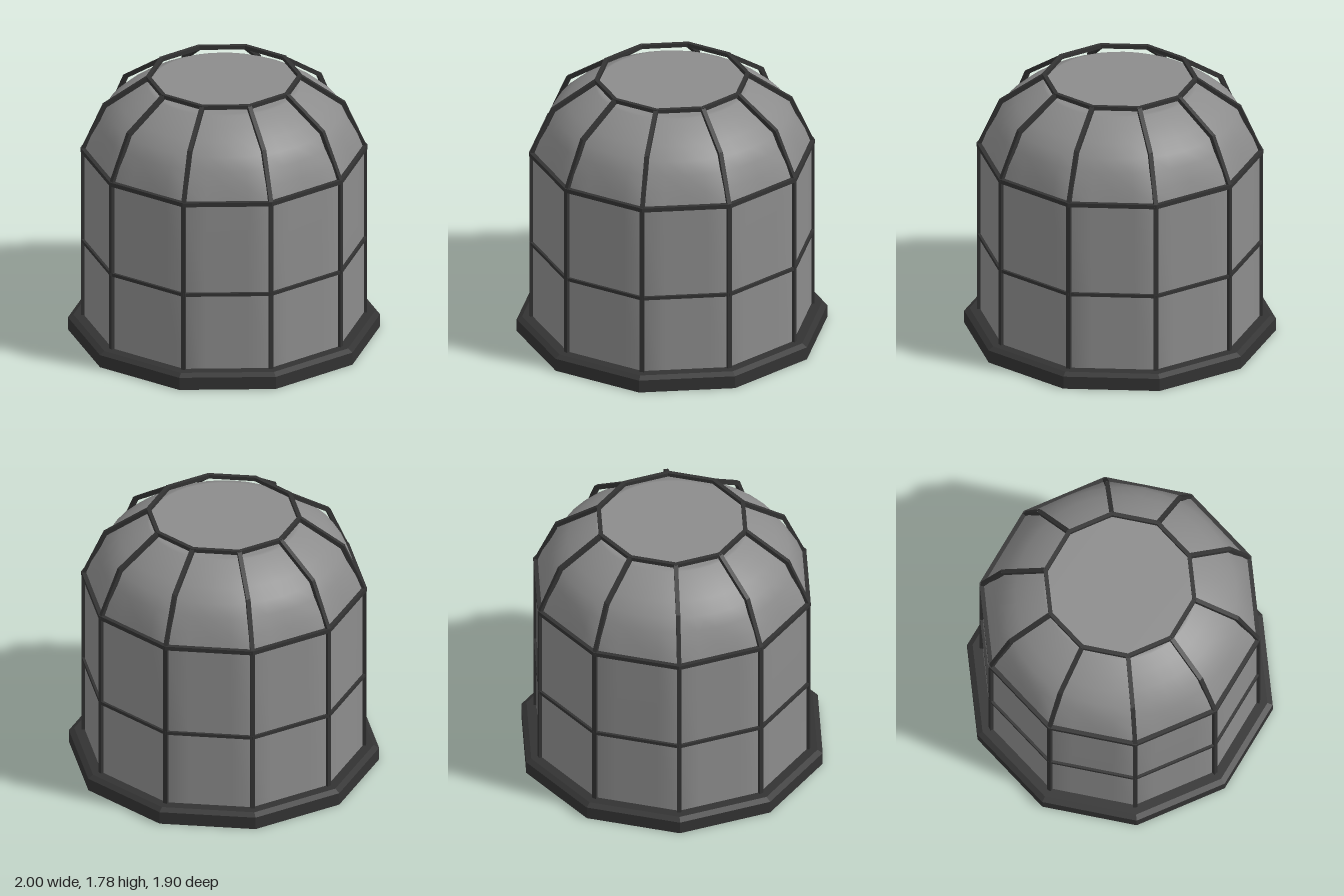
import * as THREE from 'three';
import { mergeVertices } from 'three/addons/utils/BufferGeometryUtils.js';

const SIDES = 10;
const STEP = (Math.PI * 2) / SIDES;
const glassMat = new THREE.MeshStandardMaterial({ color: 0x8c8c8c, side: THREE.DoubleSide });
const frameMat = new THREE.MeshStandardMaterial({ color: 0x333333 });

const at = (r, y, i) => new THREE.Vector3(r * Math.cos(i * STEP), y, r * Math.sin(i * STEP));

// Square bar between two points, with its depth facing outward
function bar(name, a, b, size = 0.028) {
  const dir = b.clone().sub(a);
  const mid = a.clone().add(b).multiplyScalar(0.5);
  const mesh = new THREE.Mesh(new THREE.BoxGeometry(size, dir.length() + size * 0.4, size), frameMat);
  const yAxis = dir.normalize();
  const out = new THREE.Vector3(mid.x, 0, mid.z);
  const zAxis = out.addScaledVector(yAxis, -out.dot(yAxis)).normalize();
  const xAxis = new THREE.Vector3().crossVectors(yAxis, zAxis);
  mesh.quaternion.setFromRotationMatrix(new THREE.Matrix4().makeBasis(xAxis, yAxis, zAxis));
  mesh.position.copy(mid);
  mesh.name = name;
  return mesh;
}

// Ten-sided wall that eases into a round, flat-topped dome
function glassShell() {
  const profile = [
    [0.9, 0.05], [0.9, 0.65], [0.9, 1.25], [0.895, 1.27], [0.86, 1.36], [0.805, 1.46], [0.75, 1.54],
    [0.67, 1.61], [0.58, 1.67], [0.49, 1.715], [0.47, 1.72], [0.001, 1.72],
  ].map(([r, y]) => new THREE.Vector2(r, y));
  let geo = new THREE.LatheGeometry(profile, SIDES * 4);
  const p = geo.attributes.position;
  for (let i = 0; i < p.count; i++) {
    const x = p.getX(i), y = p.getY(i), z = p.getZ(i);
    const a = (Math.atan2(z, x) + Math.PI * 2) % STEP;
    const flat = Math.cos(STEP / 2) / Math.cos(a - STEP / 2);
    const k = THREE.MathUtils.lerp(flat, 1, THREE.MathUtils.smoothstep(y, 1.26, 1.55));
    p.setXYZ(i, x * k, y, z * k);
  }
  geo.deleteAttribute('normal');
  geo.deleteAttribute('uv');
  geo = mergeVertices(geo, 1e-5);
  geo.computeVertexNormals();
  const mesh = new THREE.Mesh(geo, glassMat);
  mesh.name = 'glassShell';
  return mesh;
}

// Chamfered ten-sided plinth
function plinth() {
  const group = new THREE.Group();
  group.name = 'plinth';
  const mat = frameMat.clone();
  mat.flatShading = true;
  for (const [name, top, y, h] of [['plinthBody', 1, 0, 0.085], ['plinthChamfer', 0.965, 0.085, 0.02]]) {
    const geo = new THREE.CylinderGeometry(top, 1, h, SIDES, 1, false, Math.PI / 2);
    const mesh = new THREE.Mesh(geo, mat);
    mesh.position.y = y + h / 2;
    mesh.name = name;
    group.add(mesh);
  }
  return group;
}

export function createModel() {
  const model = new THREE.Group();
  model.name = 'glassDome';
  model.add(plinth(), glassShell());

  const frame = new THREE.Group();
  frame.name = 'frame';
  for (let i = 0; i < SIDES; i++) {
    // Upright and two-part dome rib at each corner
    frame.add(bar('upright', at(0.902, 0.09, i), at(0.902, 1.265, i)));
    frame.add(bar('lowerRib', at(0.902, 1.265, i), at(0.765, 1.575, i)));
    frame.add(bar('upperRib', at(0.765, 1.575, i), at(0.487, 1.765, i)));
    // Horizontal rails along each side
    frame.add(bar('middleRail', at(0.906, 0.63, i), at(0.906, 0.63, i + 1), 0.022));
    frame.add(bar('eaveRail', at(0.906, 1.265, i), at(0.906, 1.265, i + 1)));
    frame.add(bar('crownRail', at(0.487, 1.766, i), at(0.487, 1.766, i + 1), 0.026));
  }
  model.add(frame);
  return model;
}
